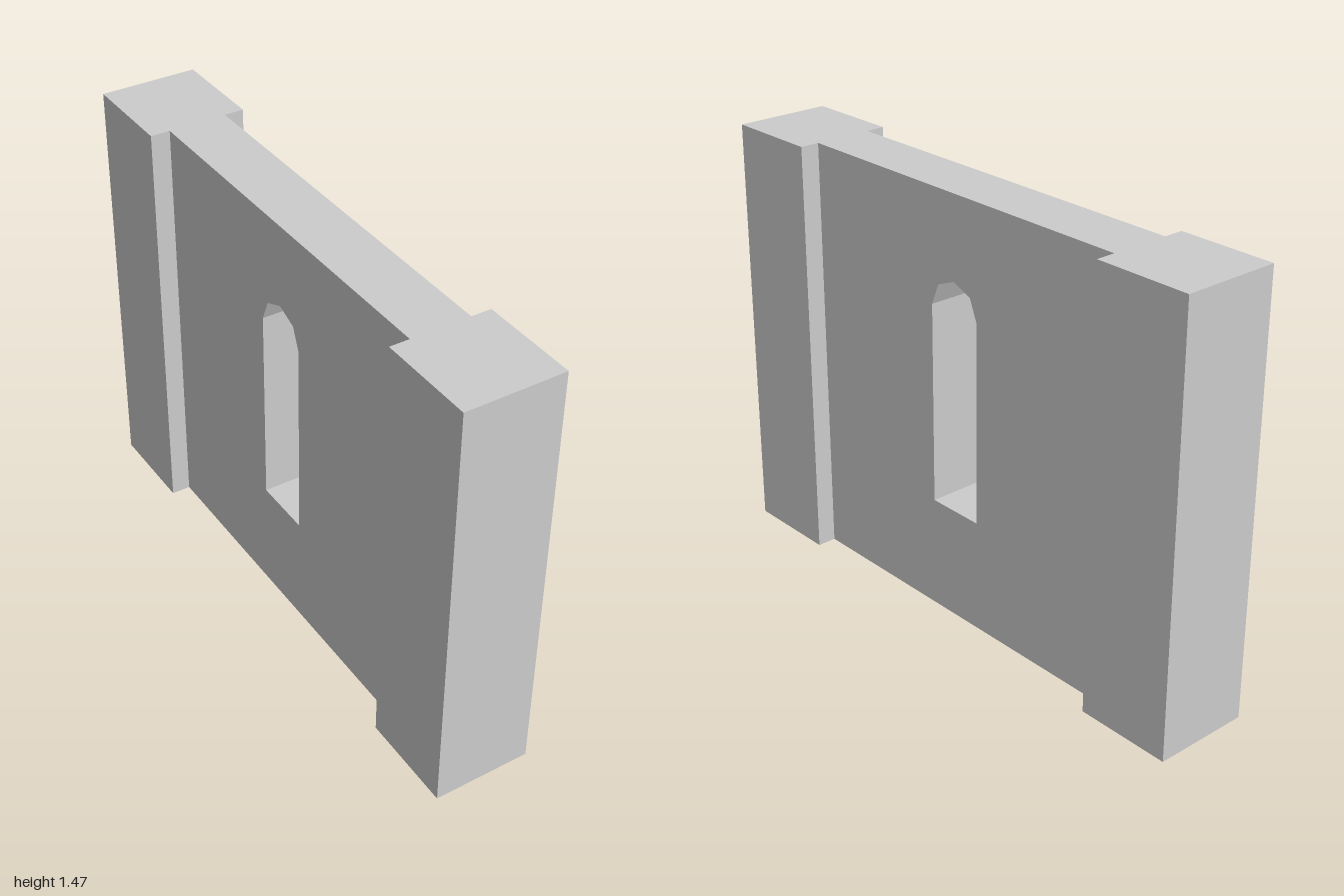
import * as THREE from 'three';

const HEIGHT = 1.466;
const PIER_WIDTH = 0.333, PIER_DEPTH = 0.333;
const WALL_THICKNESS = 0.2;
const INNER_Z = 1 - PIER_DEPTH;

export function createModel() {
  const group = new THREE.Group();
  group.name = 'wallSection';
  const material = new THREE.MeshStandardMaterial({ color: 0xcccccc, flatShading: true });

  // Thin wall panel with a narrow window, drawn in profile
  const profile = new THREE.Shape([
    new THREE.Vector2(-INNER_Z, 0),
    new THREE.Vector2(INNER_Z, 0),
    new THREE.Vector2(INNER_Z, HEIGHT),
    new THREE.Vector2(-INNER_Z, HEIGHT),
  ]);

  // Window: straight sides under a four-sided arch
  const halfWidth = 0.104, sill = 0.39, spring = 1.081;
  const opening = [new THREE.Vector2(-halfWidth, sill)];
  for (let i = 0; i <= 4; i++) {
    const a = Math.PI * (1 - i / 4);
    opening.push(new THREE.Vector2(halfWidth * Math.cos(a), spring + halfWidth * Math.sin(a)));
  }
  opening.push(new THREE.Vector2(halfWidth, sill));
  profile.holes.push(new THREE.Path(opening));

  // Turn the profile to run along z, with its thickness centred on x
  const wallGeometry = new THREE.ExtrudeGeometry(profile, { depth: WALL_THICKNESS, bevelEnabled: false });
  wallGeometry.translate(0, 0, -WALL_THICKNESS / 2).rotateY(Math.PI / 2);
  const wall = new THREE.Mesh(wallGeometry, material);
  wall.name = 'windowWall';
  group.add(wall);

  // Thicker pier at each end
  const pierGeometry = new THREE.BoxGeometry(PIER_WIDTH, HEIGHT, PIER_DEPTH);
  for (const [name, side] of [['frontPier', 1], ['backPier', -1]]) {
    const pier = new THREE.Mesh(pierGeometry, material);
    pier.name = name;
    pier.position.set(0, HEIGHT / 2, side * (1 - PIER_DEPTH / 2));
    group.add(pier);
  }

  return group;
}
